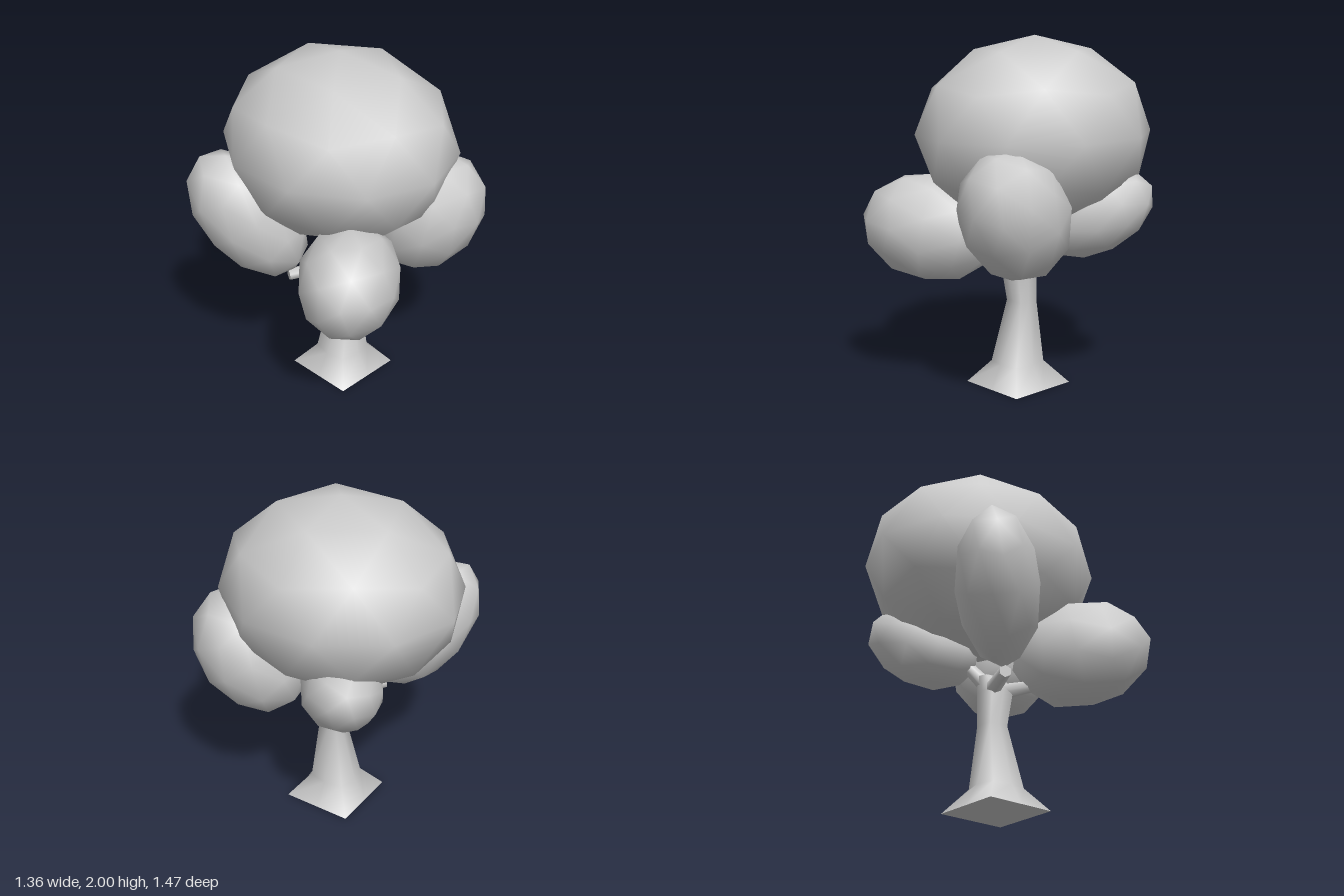
import * as THREE from 'three';

const UP = new THREE.Vector3(0, 1, 0);

export function createModel() {
  const tree = new THREE.Group();
  tree.name = 'tree';
  const material = new THREE.MeshStandardMaterial({ color: 0xcccccc });
  const add = (name, geometry) => {
    const mesh = new THREE.Mesh(geometry, material);
    mesh.name = name;
    tree.add(mesh);
    return mesh;
  };

  // Foliage: low-poly smooth ball with one corner pointing along its long axis,
  // which leans away from upright by tilt, towards the compass angle heading
  const ball = new THREE.IcosahedronGeometry(1, 1);
  ball.rotateZ(-Math.atan(2 / (1 + Math.sqrt(5))));
  const foliage = (name, centre, radii, heading = 0, tilt = 0) => {
    const mesh = add(name, ball);
    mesh.position.set(...centre);
    mesh.scale.set(...radii);
    mesh.rotation.set(tilt, heading, 0, 'YXZ');
  };
  foliage('crown', [0.08, 1.46, -0.045], [0.63, 0.54, 0.695]);
  foliage('frontRightFoliage', [-0.295, 0.925, 0.4], [0.285, 0.405, 0.31], -0.915, 1.42);
  foliage('frontLeftFoliage', [0.36, 1.075, 0.37], [0.305, 0.4, 0.31], 0.38, 0.6);
  foliage('backRightFoliage', [-0.39, 1.085, -0.3], [0.235, 0.44, 0.275], -2.39, 0.62);
  foliage('backLeftFoliage', [0.37, 1.015, -0.235], [0.23, 0.355, 0.23], 2.237, 1.1);

  // Trunk: eight-sided rings, squarish and flared at the root
  // each ring: y, centre x, centre z, half width x, half width z, corner factor
  const rings = [
    [0, 0.03, 0.035, 0.21, 0.21, 1.414],
    [0.13, 0.025, 0.035, 0.13, 0.135, 1.13],
    [0.5, 0.057, 0.033, 0.06, 0.064, 1.36],
    [0.69, 0.04, 0.037, 0.08, 0.088, 1.2],
    [0.79, 0.07, 0.037, 0.056, 0.088, 1.1],
  ];
  const sides = 8;
  const positions = [];
  const index = [];
  const addRing = ([y, cx, cz, rx, rz, corner]) => {
    for (let i = 0; i < sides; i++) {
      const a = (i / sides) * Math.PI * 2;
      const k = i % 2 ? corner : 1;
      positions.push(cx + Math.sin(a) * rx * k, y, cz + Math.cos(a) * rz * k);
    }
  };
  rings.forEach(addRing);
  for (let r = 0; r < rings.length - 1; r++) {
    for (let i = 0; i < sides; i++) {
      const a = r * sides + i;
      const b = r * sides + ((i + 1) % sides);
      index.push(a, b, b + sides, a, b + sides, a + sides);
    }
  }
  // Flat caps under the root and on top
  for (const [ring, isTop] of [[rings[0], false], [rings[rings.length - 1], true]]) {
    const start = positions.length / 3;
    addRing(ring);
    for (let i = 1; i < sides - 1; i++) {
      if (isTop) index.push(start, start + i, start + i + 1);
      else index.push(start, start + i + 1, start + i);
    }
  }
  const trunk = new THREE.BufferGeometry();
  trunk.setAttribute('position', new THREE.Float32BufferAttribute(positions, 3));
  trunk.setIndex(index);
  trunk.computeVertexNormals();
  add('trunk', trunk);

  // Branches: short tapered limbs running into the side foliage
  const branch = (name, from, to, thick, thin) => {
    const start = new THREE.Vector3(...from);
    const end = new THREE.Vector3(...to);
    const span = end.clone().sub(start);
    const mesh = add(name, new THREE.CylinderGeometry(thin, thick, span.length(), 6));
    mesh.position.copy(start).add(end).multiplyScalar(0.5);
    mesh.quaternion.setFromUnitVectors(UP, span.normalize());
  };
  branch('frontRightBranch', [0.03, 0.71, 0.08], [-0.14, 0.75, 0.25], 0.05, 0.03);
  branch('frontLeftBranch', [0.07, 0.75, 0.08], [0.22, 0.9, 0.2], 0.045, 0.025);
  branch('backRightBranch', [0.03, 0.71, 0.01], [-0.25, 0.69, -0.13], 0.045, 0.035);
  branch('backLeftBranch', [0.07, 0.74, 0.0], [0.2, 0.93, -0.1], 0.045, 0.03);

  return tree;
}
